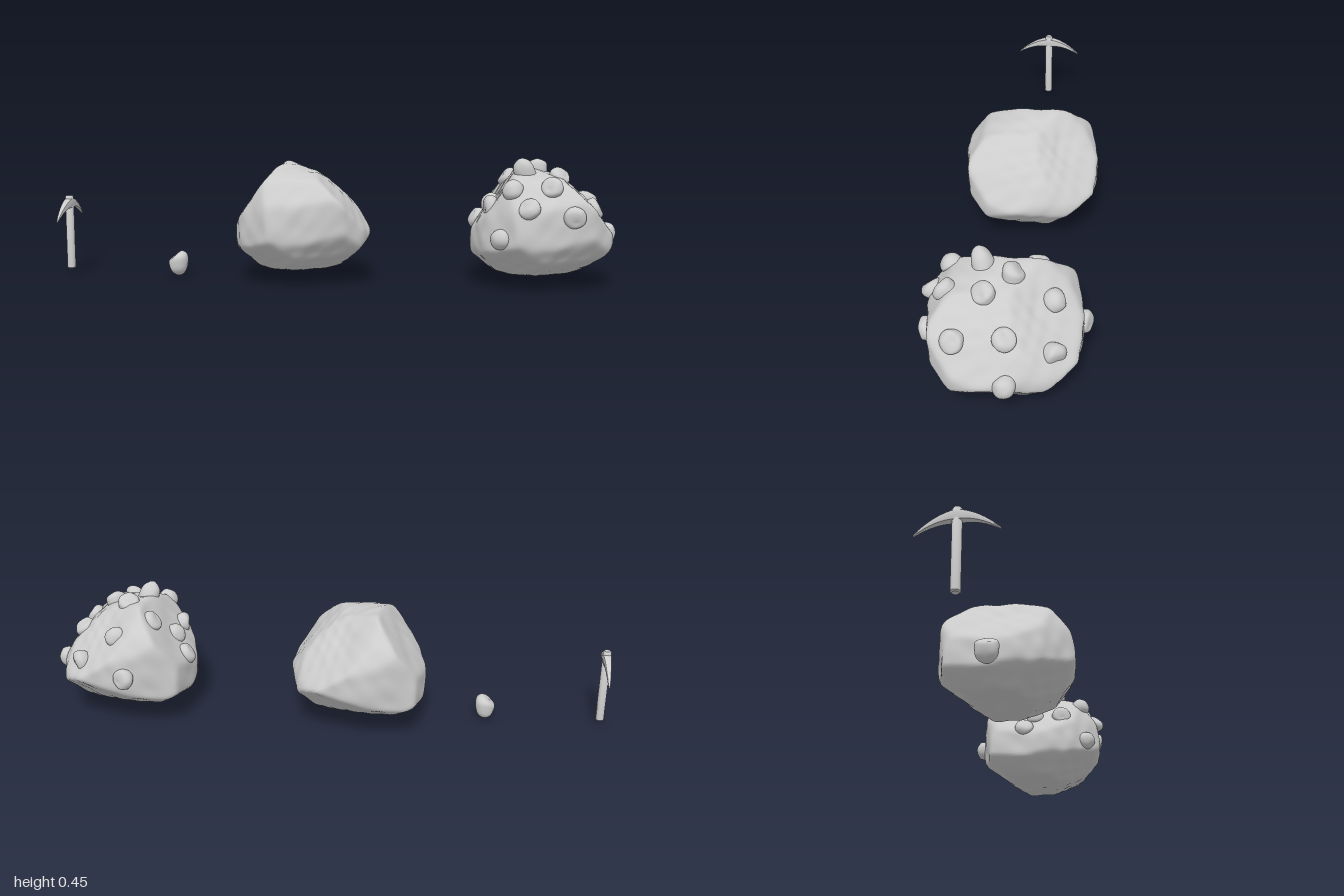
import * as THREE from 'three';
import { mergeVertices, toCreasedNormals } from 'three/addons/utils/BufferGeometryUtils.js';

const V = (x, y, z) => new THREE.Vector3(x, y, z);
const grey = new THREE.MeshStandardMaterial({ color: 0xcccccc });

function part(name, geometry, parent) {
  const m = new THREE.Mesh(geometry, grey);
  m.name = name;
  parent.add(m);
  return m;
}

// Turn a convex outline, drawn on axes u and v, into cutting planes
function outlinePlanes(u, v, pts) {
  return pts.map((a, i) => {
    const b = pts[(i + 1) % pts.length];
    const n = new THREE.Vector2(b[1] - a[1], a[0] - b[0]).normalize();
    let d = n.x * a[0] + n.y * a[1];
    if (d < 0) { n.negate(); d = -d; }
    return { n: u.clone().multiplyScalar(n.x).addScaledVector(v, n.y), d };
  });
}

// The same for an outline on a plane turned by azimuth and elevation, in degrees
function obliquePlanes(azimuth, elevation, pts) {
  const turn = new THREE.Euler(
    -THREE.MathUtils.degToRad(elevation), THREE.MathUtils.degToRad(azimuth), 0, 'YXZ');
  return outlinePlanes(V(1, 0, 0).applyEuler(turn), V(0, 1, 0).applyEuler(turn), pts);
}

// Distance from the centre to the softly rounded planes along a direction
function reach(planes, dir, power) {
  let s = 0;
  for (const { n, d } of planes) s += Math.max(0, n.dot(dir) / d) ** power;
  return s ** (-1 / power);
}

function stoneGeometry(detail, radius) {
  let g = new THREE.IcosahedronGeometry(1, detail);
  g.deleteAttribute('uv');
  g.deleteAttribute('normal');
  g = mergeVertices(g, 1e-5);
  const p = g.attributes.position, d = V();
  for (let i = 0; i < p.count; i++) {
    d.fromBufferAttribute(p, i).normalize();
    d.multiplyScalar(radius(d));
    p.setXYZ(i, d.x, d.y, d.z);
  }
  g.computeVertexNormals();
  return g;
}

const X = V(1, 0, 0), Y = V(0, 1, 0), Z = V(0, 0, 1);

// Boulder facets
const rockPlanes = [
  ...outlinePlanes(X, Y, [[-.247, -.125], [-.242, 0], [-.205, .057], [-.075, .222], [.06, .185],
    [.155, .1], [.245, -.023], [.245, -.08], [.175, -.136], [0, -.157], [-.21, -.147]]),
  ...outlinePlanes(Z, Y, [[.252, -.02], [.175, -.135], [.045, -.16], [-.205, -.115], [-.24, -.04],
    [-.24, .06], [-.205, .13], [-.115, .22], [-.005, .22], [.165, .17], [.23, .09]]),
  ...outlinePlanes(X, Z, [[-.215, -.185], [-.025, -.245], [.172, -.225], [.195, -.165], [.245, .051],
    [.225, .131], [.161, .205], [-.09, .245], [-.202, .142], [-.247, .015]]),
  ...obliquePlanes(32, 28, [[.005, .278], [.1, .22], [.22, .09], [.26, -.03], [.1, -.17],
    [-.11, -.165], [-.257, -.07], [-.25, .037], [-.166, .16], [-.07, .24]]),
  ...obliquePlanes(212, 28, [[-.064, .225], [.05, .246], [.176, .225], [.262, .016],
    [.23, -.144], [.05, -.2], [-.064, -.17], [-.257, -.05], [-.17, .123]]),
  ...obliquePlanes(145, -37, [[-.294, -.01], [-.107, .203], [.171, .24], [.225, .193],
    [.3, -.075], [.25, -.13], [.09, -.193], [-.096, -.182]]),
  { n: V(.49, .71, -.49).normalize(), d: .17 },
];
const hollow = V(.2, .75, -.6).normalize();

function rockRadius(d) {
  const r = reach(rockPlanes, d, 55) * 1.016;
  const { x, y, z } = d;
  const broad = Math.sin(6 * x + 3 * y + 1) + Math.sin(6 * z - 4 * y + 2) + Math.sin(5 * y + 4 * x - 3 * z);
  const fine = Math.sin(13 * x + 5 * z) * Math.sin(12 * y - 6 * x + 1) * Math.sin(11 * z + 4 * y + 2);
  const dent = Math.exp(-(1 - d.dot(hollow)) * 25);
  return r + .0012 * broad + .003 * fine - .008 * dent;
}

// Small rounded ore pebble
const pebbleSide = [[-.038, .02], [0, .05], [.037, .02], [.032, -.03], [0, -.056], [-.032, -.025]];
const nuggetPlanes = [
  ...outlinePlanes(X, Y, [[-.036, .003], [.02, .047], [.031, .033], [.034, 0], [.018, -.045],
    [0, -.053], [-.02, -.035]]),
  ...[0, 45, 135].flatMap(a => obliquePlanes(a + 90, 0, pebbleSide)),
  ...outlinePlanes(X, Z, Array.from({ length: 10 }, (_, i) =>
    [.036 * Math.cos(i * Math.PI / 5), .041 * Math.sin(i * Math.PI / 5)])),
];
const pinch = V(-.6, .6, .5).normalize();
const nuggetRadius = d =>
  reach(nuggetPlanes, d, 9) * 1.15 - .005 * Math.exp(-(1 - d.dot(pinch)) * 8);

// Ore positions around the rich boulder
const oreSpots = [
  [.66, .43, .085], [.79, .39, .06], [.715, .42, -.025], [.735, .33, -.15], [.865, .235, -.16],
  [.9, .31, -.015], [.96, .185, -.02], [.9, .29, .14], [.755, .36, .18], [.62, .36, .19],
  [.68, .295, .23], [.83, .27, .23], [.575, .187, .22], [.53, .3, .12], [.5, .23, -.04],
  [.53, .3, 0], [.615, .37, -.09], [.69, .21, -.24],
];

// Curved two-ended pick head, tapering to its tips
function pickHeadGeometry() {
  const g = new THREE.BoxGeometry(2, 2, 2, 2, 2, 16);
  const p = g.attributes.position;
  for (let i = 0; i < p.count; i++) {
    const t = p.getZ(i), a = Math.abs(t);
    const bulge = p.getX(i) * p.getY(i) === 0 ? 1 : .8;
    p.setXYZ(i,
      p.getX(i) * bulge * (.003 + .014 * (1 - a) ** .8),
      .264 - .052 * t * t + p.getY(i) * bulge * (.003 + .017 * (1 - a)),
      t * .125);
  }
  return toCreasedNormals(g, .6);
}

export function createModel() {
  const model = new THREE.Group();

  // Pickaxe
  const pickaxe = new THREE.Group();
  pickaxe.name = 'pickaxe';
  pickaxe.position.set(-.98, 0, .015);
  model.add(pickaxe);
  const profile = [[0, .02], [.011, .02], [.015, .024], [.015, .286], [.011, .292], [0, .292]];
  part('handle', toCreasedNormals(
    new THREE.LatheGeometry(profile.map(([r, y]) => new THREE.Vector2(r, y)), 16), .7), pickaxe);
  part('pickHead', pickHeadGeometry(), pickaxe);

  // Loose pebble
  const nugget = stoneGeometry(7, nuggetRadius);
  part('looseNugget', nugget, model).position.set(-.57, .053, .02);

  // Plain boulder and ore-bearing boulder
  const rock = stoneGeometry(30, rockRadius);
  part('plainBoulder', rock, model).position.set(-.105, .2, .005);
  const rich = new THREE.Group();
  rich.name = 'oreBoulder';
  rich.position.set(.735, .2, .005);
  model.add(rich);
  part('boulder', rock, rich);

  // Ore lumps half sunk in the surface, each turned differently
  oreSpots.forEach((spot, i) => {
    const d = V(...spot).sub(rich.position).normalize();
    const m = part('oreLump', nugget, rich);
    m.position.copy(d).multiplyScalar(rockRadius(d) - .004);
    m.quaternion.setFromUnitVectors(V(0, i % 3 ? 1 : -1, 0), d);
    m.rotateY(i * 2.4);
    m.scale.set(1, i === 0 ? 1.15 : .65 + .1 * (i % 3), .95);
  });
  return model;
}
